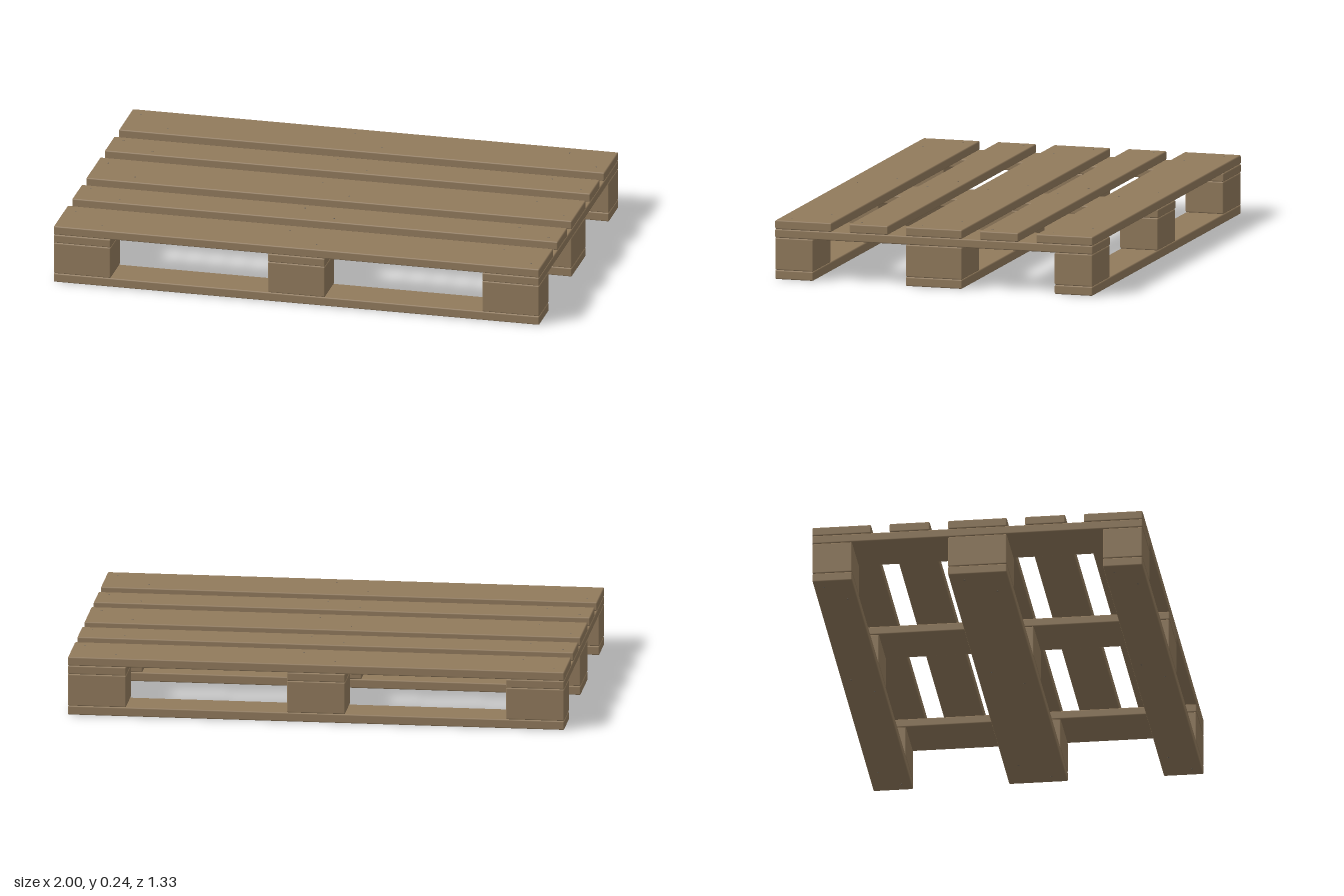
import * as THREE from 'three';
import { RoundedBoxGeometry } from 'three/addons/geometries/RoundedBoxGeometry.js';

export function createModel() {
  const group = new THREE.Group();
  group.name = 'pallet';
  const wood = new THREE.MeshStandardMaterial({ color: 0x917a5c });
  wood.name = 'wood';
  const steel = new THREE.MeshStandardMaterial({ color: 0x6f675c });
  steel.name = 'nail steel';

  // Plank or block with slightly eased edges, spanning y0 to y1
  function plank(name, x, z, y0, y1, w, d) {
    const geo = new RoundedBoxGeometry(w, y1 - y0, d, 1, 0.005);
    const mesh = new THREE.Mesh(geo, wood);
    mesh.name = name;
    mesh.position.set(x, (y0 + y1) / 2, z);
    group.add(mesh);
  }

  // Nail head lying on a plank face
  const nailGeo = new THREE.CylinderGeometry(0.0035, 0.0035, 0.002, 8);
  function nail(x, y, z) {
    const mesh = new THREE.Mesh(nailGeo, steel);
    mesh.name = 'nail';
    mesh.position.set(x, y, z);
    group.add(mesh);
  }

  const columns = [-0.8825, 0, 0.8825];
  const columnWidth = 0.235;
  const rows = [[-0.585, 0.16], [0, 0.237], [0.585, 0.16]];
  const deck = [[-0.547, 0.237], [-0.273, 0.162], [0, 0.237], [0.273, 0.162], [0.547, 0.237]];

  // Bottom runners with a block under each cross board
  for (const [z, depth] of rows) {
    plank('bottomRunner', 0, z, 0.002, 0.039, 2, depth);
    for (const x of columns) {
      plank('spacerBlock', x, z, 0.039, 0.17, columnWidth, depth);
      for (const s of [-1, 1]) nail(x + s * 0.06, 0.002, z + s * depth * 0.25);
    }
  }

  // Cross boards running front to back
  for (const x of columns) plank('crossBoard', x, 0, 0.17, 0.205, columnWidth, 1.332);

  // Top deck boards, nailed at every crossing
  for (const [z, depth] of deck) {
    plank('deckBoard', 0, z, 0.205, 0.241, 2, depth);
    for (const x of columns) {
      for (const s of [-1, 1]) nail(x + s * 0.07, 0.2405, z + s * depth * 0.26);
    }
  }

  // Rest the runners on the ground
  for (const part of group.children) part.position.y -= 0.001;
  return group;
}
